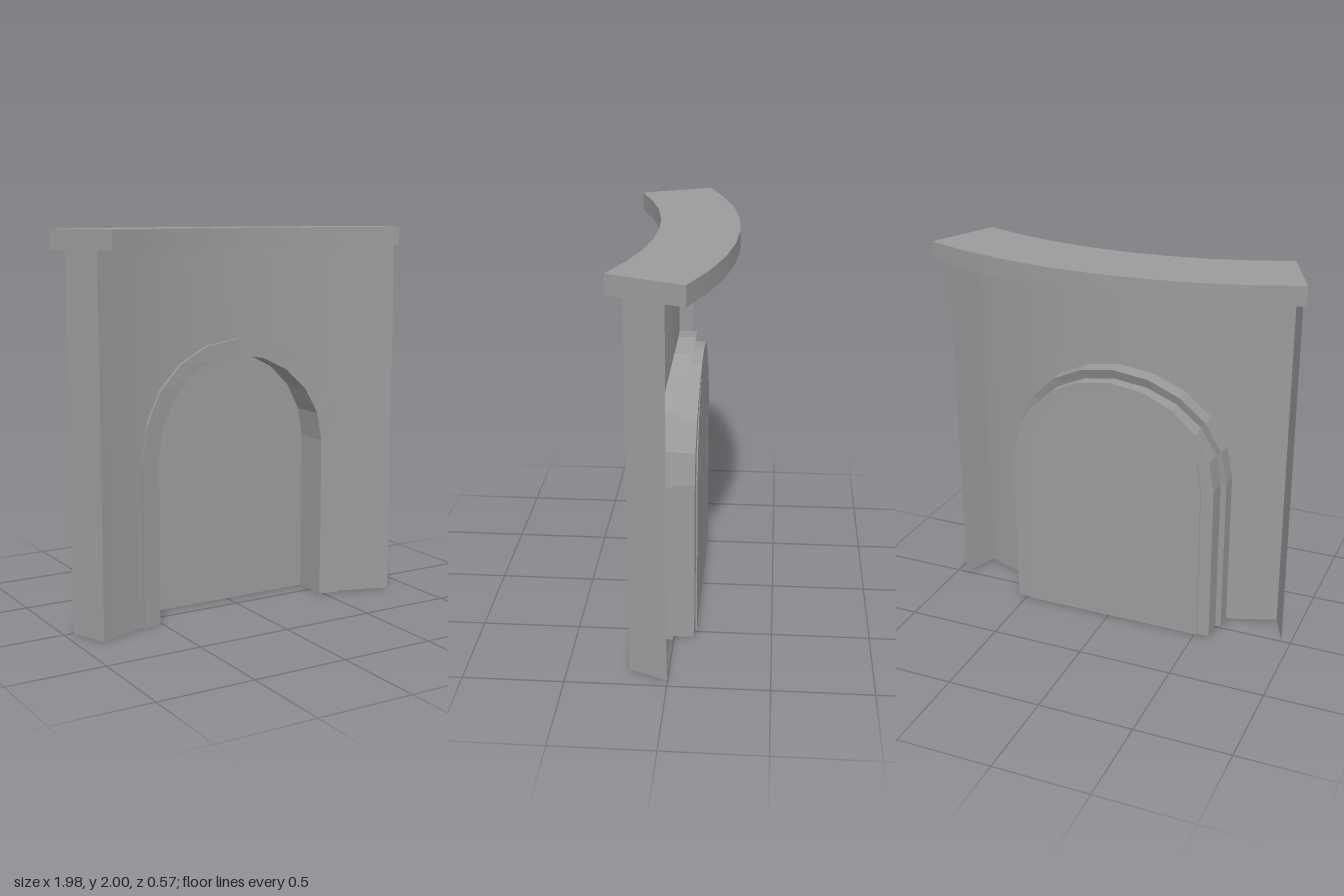
import * as THREE from 'three';
import { toCreasedNormals } from 'three/addons/utils/BufferGeometryUtils.js';

const CZ = 2.265;                              // z of the axis the wall bends around
const HALF = THREE.MathUtils.degToRad(22.8);   // half the angle the wall spans
const WALL_R = 2.245, BACK_R = 2.453, WALL_TOP = 1.902;
const ARCH_X = -0.012, SPRING = 0.86, ARCH_SEGMENTS = 10;

const material = new THREE.MeshStandardMaterial({ color: 0x9b9b9b, side: THREE.DoubleSide });
const flatMaterial = material.clone();
flatMaterial.flatShading = true;

// z on a curved face of the given radius
const bend = (x, r) => CZ - Math.sqrt(r * r - x * x);

// arch outline from +x foot to -x foot: [x, y] pairs
function archPath(a, b) {
  const pts = [[ARCH_X + a, 0]];
  for (let i = 0; i <= ARCH_SEGMENTS; i++) {
    const t = (Math.PI * i) / ARCH_SEGMENTS;
    pts.push([ARCH_X + a * Math.cos(t), SPRING + b * Math.sin(t)]);
  }
  pts.push([ARCH_X - a, 0]);
  return pts;
}

function buildGeometry(pos, idx) {
  const g = new THREE.BufferGeometry();
  g.setAttribute('position', new THREE.Float32BufferAttribute(pos, 3));
  g.setIndex(idx);
  g.computeVertexNormals();
  return g;
}

// open sheet made of upright columns [x, z, bottom]
function sheet(columns) {
  const pos = [], idx = [];
  columns.forEach(([x, z, bottom], i) => {
    pos.push(x, bottom, z, x, WALL_TOP, z);
    if (i) {
      const a = 2 * i - 2;
      idx.push(a, a + 2, a + 1, a + 1, a + 2, a + 3);
    }
  });
  return buildGeometry(pos, idx);
}

// arched ring, open at its feet, with a depth rule for each of its edges
function archRing(outer, inner, frontZ, outerBackZ, innerBackZ) {
  const pos = [], idx = [];
  outer.forEach(([ox, oy], i) => {
    const [ix, iy] = inner[i];
    pos.push(ox, oy, frontZ(ox), ix, iy, frontZ(ix), ix, iy, innerBackZ(ix), ox, oy, outerBackZ(ox));
    if (i === outer.length - 1) return;
    for (let j = 0; j < 4; j++) {
      const a = 4 * i + j, b = 4 * i + ((j + 1) % 4);
      idx.push(a, a + 4, b, b, a + 4, b + 4);
    }
  });
  return buildGeometry(pos, idx);
}

export function createModel() {
  const group = new THREE.Group();
  const add = (name, geometry, mat) => {
    const mesh = new THREE.Mesh(geometry, mat);
    mesh.name = name;
    group.add(mesh);
  };

  // curved wall with an arched opening
  const columns = archPath(0.55, 0.53).reverse().map(([x, y]) => [x, bend(x, WALL_R), y]);
  for (let i = -8; i <= 8; i++) {
    const x = WALL_R * Math.sin((HALF * i) / 8);
    if (Math.abs(x - ARCH_X) > 0.56) columns.push([x, bend(x, WALL_R), 0]);
  }
  // sort by x, keeping each foot beside its springing point on the outer side
  const side = (c) => (c[0] < ARCH_X ? 1 : -1);
  columns.sort((p, q) => (Math.abs(p[0] - q[0]) > 1e-6 ? p[0] - q[0] : side(p) * (p[2] - q[2])));
  add('curvedWall', sheet(columns), material);

  // end walls running back from the curved wall
  for (const s of [1, -1]) {
    const ends = [WALL_R, BACK_R].map((r) => [s * r * Math.sin(HALF), CZ - r * Math.cos(HALF), 0]);
    add(s > 0 ? 'leftEndWall' : 'rightEndWall', sheet(s > 0 ? ends : ends.reverse()), material);
  }

  // overhanging coping slab
  const slab = [];
  for (const [r, dir] of [[2.152, 1], [2.555, -1]]) {
    for (let i = -4; i <= 4; i++) {
      const t = (dir * HALF * i) / 4;
      slab.push(new THREE.Vector2(r * Math.sin(t), CZ - r * Math.cos(t)));
    }
  }
  const cap = new THREE.ExtrudeGeometry(new THREE.Shape(slab), { depth: 2 - WALL_TOP, bevelEnabled: false });
  cap.rotateX(Math.PI / 2).translate(0, 2, 0);
  add('coping', toCreasedNormals(cap, 0.4), material);

  // curved surround, slightly proud of the wall, its back sloping in to the reveal
  add('archSurround', archRing(archPath(0.597, 0.573), archPath(0.495, 0.488),
    (x) => bend(x, 2.228), (x) => bend(x, 2.337), (x) => bend(x, 2.3)), flatMaterial);

  // reveal behind the surround, its rim bowed slightly
  const rimZ = (x) => -0.114 + 0.035 * x * x;
  add('archReveal', archRing(archPath(0.565, 0.518), archPath(0.496, 0.489),
    () => 0.03, rimZ, rimZ), flatMaterial);

  // flat panel closing the niche
  const outline = archPath(0.498, 0.49).map(([x, y]) => new THREE.Vector2(x, y));
  const panel = new THREE.ExtrudeGeometry(new THREE.Shape(outline), { depth: 0.01, bevelEnabled: false });
  panel.translate(0, 0, -0.113);
  add('nichePanel', panel, flatMaterial);

  return group;
}
